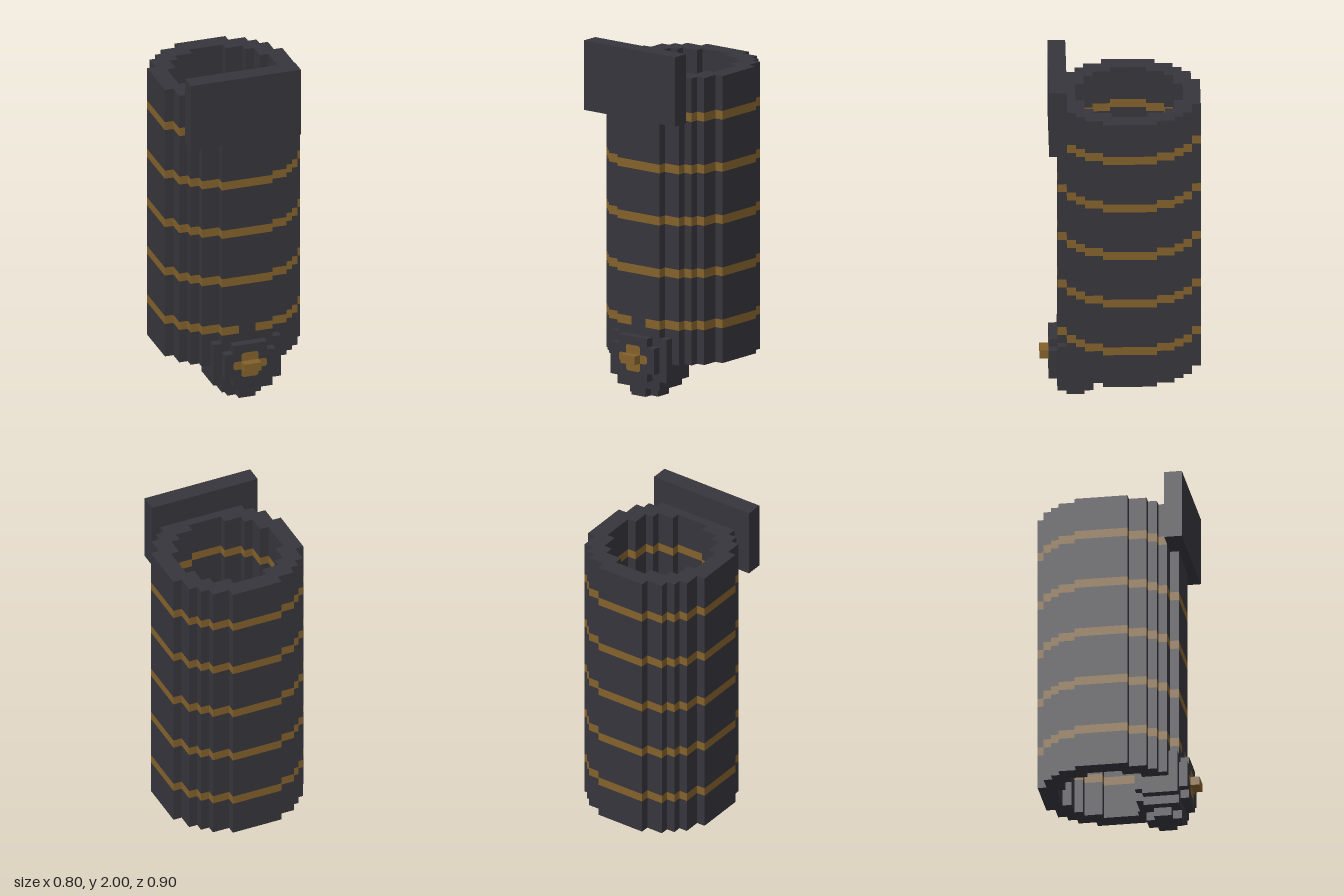
import * as THREE from 'three';

const dark = new THREE.MeshStandardMaterial({ name: 'darkMetal', color: 0x36353c });
const gold = new THREE.MeshStandardMaterial({ name: 'agedBrass', color: 0x82612b });

// Stepped quarter outlines, from the upper edge round to the side
const OUTER = [[.15, .4], [.15, .35], [.25, .35], [.25, .3], [.3, .3], [.3, .25], [.35, .25], [.35, .15], [.4, .15]];
const INNER = [[.1, .3], [.1, .25], [.2, .25], [.2, .2], [.25, .2], [.25, .1], [.3, .1]];
const DISC = [[.15, .175], [.15, .125], [.2, .125]];
const CAP = [[.1, .125], [.1, .075], [.15, .075]];
const CROSS = [[.04, .075], [.05, .065], [.05, .025], [.09, .025], [.1, .015]];

// Mirror a quarter into a full anticlockwise loop that starts and ends at the lower edge
function loop(quarter) {
  const part = (sx, sy, flip) => {
    const pts = quarter.map(([x, y]) => new THREE.Vector2(x * sx, y * sy));
    return flip ? pts.reverse() : pts;
  };
  return [...part(1, -1, false), ...part(1, 1, true), ...part(-1, 1, false), ...part(-1, -1, true)];
}

function extrude(points, hole, depth) {
  const shape = new THREE.Shape(points);
  if (hole) shape.holes.push(new THREE.Path(hole));
  return new THREE.ExtrudeGeometry(shape, { depth, bevelEnabled: false });
}

function add(group, name, geometry, material, x = 0, y = 0, z = 0) {
  const mesh = new THREE.Mesh(geometry, material);
  mesh.name = name;
  mesh.position.set(x, y, z);
  group.add(mesh);
}

// Box given by its minimum and maximum corners
function box(group, name, material, a, b) {
  const size = b.map((v, i) => v - a[i]);
  const mid = b.map((v, i) => (v + a[i]) / 2);
  add(group, name, new THREE.BoxGeometry(...size), material, ...mid);
}

export function createModel() {
  const model = new THREE.Group();
  model.name = 'bandedTube';

  // Hollow barrel: dark sections alternating with thin brass bands
  const ring = (name, material, y0, y1, split) => {
    const v = (x, y) => new THREE.Vector2(x, y);
    const outline = split
      ? [v(.05, -.4), ...loop(OUTER), v(-.05, -.4), v(-.05, -.3), ...loop(INNER).reverse(), v(.05, -.3)]
      : loop(OUTER);
    const geo = extrude(outline, split ? null : loop(INNER), y1 - y0);
    geo.rotateX(-Math.PI / 2);
    add(model, name, geo, material, 0, y0, -.05);
  };
  let base = .2;
  for (let i = 0; i < 5; i++) {
    const y = .4 + i * .3;
    ring('barrelSection', dark, base, y, false);
    ring('brassBand', gold, y, y + .05, i === 0); // the lowest band parts around the hub
    base = y + .05;
  }
  ring('barrelSection', dark, base, 1.85, false);

  // Upright plate at the top of the front
  box(model, 'topPlate', dark, [-.35, 1.6, .3], [.3, 2, .4]);

  // Round hub at the foot of the front
  const hub = new THREE.Group();
  hub.name = 'hub';
  model.add(hub);
  const cy = .225;
  add(hub, 'hubDisc', extrude(loop(DISC), null, .2), dark, 0, cy, .15);
  for (const y of [0, .4]) {
    // Cross-shaped step below and above the disc
    box(hub, 'hubStepLong', dark, [-.05, y, .15], [.05, y + .05, .35]);
    box(hub, 'hubStepWide', dark, [-.1, y, .2], [.1, y + .05, .3]);
  }
  add(hub, 'hubBackCap', extrude(loop(CAP), null, .05), dark, 0, cy, .1);
  add(hub, 'hubFrontCap', extrude(loop(CAP), loop(CROSS), .05), dark, 0, cy, .35);

  // Brass inlay and its small knob
  add(hub, 'brassInlay', extrude(loop(CROSS), null, .05), gold, 0, cy, .35);
  box(hub, 'brassKnob', gold, [-.05, .2, .4], [.05, .25, .45]);

  return model;
}
